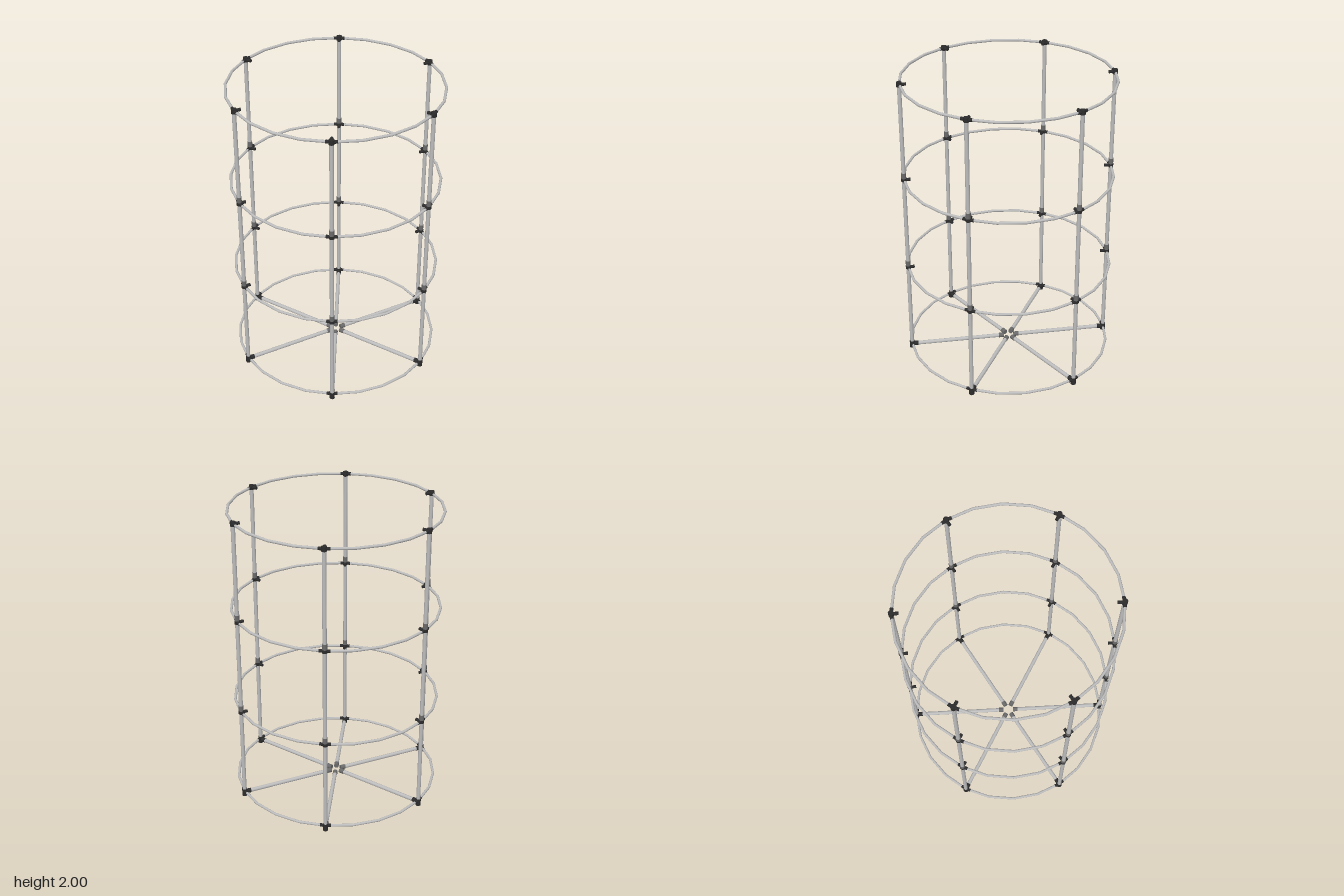
import * as THREE from 'three';

const RADIUS = 0.688;
const LEVELS = [0.035, 0.66, 1.322, 1.985];
const STEP = Math.PI / 12;

export function createModel() {
  const model = new THREE.Group();
  model.name = 'cylindricalFrame';

  const steel = new THREE.MeshStandardMaterial({ color: 0xbcbcbc });
  steel.name = 'greyTube';
  const collar = new THREE.MeshStandardMaterial({ color: 0x6a6a6a });
  collar.name = 'greyCollar';
  const fitting = new THREE.MeshStandardMaterial({ color: 0x2c2c2c });
  fitting.name = 'darkFitting';

  // Round bar between two points
  function bar(parent, name, a, b, radius, material) {
    const dir = b.clone().sub(a);
    const mesh = new THREE.Mesh(new THREE.CylinderGeometry(radius, radius, dir.length(), 16), material);
    mesh.position.copy(a).add(b).multiplyScalar(0.5);
    mesh.quaternion.setFromUnitVectors(new THREE.Vector3(0, 1, 0), dir.normalize());
    mesh.name = name;
    parent.add(mesh);
  }
  const V = (x, y, z) => new THREE.Vector3(x, y, z);

  // Four hoops, each bent from 24 straight lengths
  for (const y of LEVELS) {
    const hoop = new THREE.Mesh(new THREE.TorusGeometry(RADIUS, 0.009, 12, 24), steel);
    hoop.rotation.x = Math.PI / 2;
    hoop.position.y = y;
    hoop.name = 'hoop';
    model.add(hoop);
  }

  // Six identical bays: post, floor spoke and fittings, built along +x
  for (let i = 0; i < 6; i++) {
    const bay = new THREE.Group();
    bay.name = 'bay';
    bay.rotation.y = i * Math.PI / 3;
    model.add(bay);

    bar(bay, 'post', V(RADIUS, 0.02, 0), V(RADIUS, 1.985, 0), 0.0135, steel);
    bar(bay, 'spoke', V(0.06, 0.027, 0), V(RADIUS, 0.027, 0), 0.0135, steel);
    bar(bay, 'spokeInnerCollar', V(0.036, 0.027, 0), V(0.07, 0.027, 0), 0.0165, collar);
    bar(bay, 'spokeOuterCollar', V(0.645, 0.027, 0), V(RADIUS, 0.027, 0), 0.016, fitting);

    LEVELS.forEach((y, level) => {
      const half = level === 3 ? 0.015 : 0.011;
      const low = level === 0 ? 0 : y - half;
      const high = level === 0 ? 0.05 : y + half;
      bar(bay, 'jointHub', V(RADIUS, low, 0), V(RADIUS, high, 0), 0.0175, fitting);

      // Sleeves gripping the hoop on both sides of the post
      for (const side of [-1, 1]) {
        const corner = V(RADIUS, y, 0);
        const next = V(RADIUS * Math.cos(STEP), y, side * RADIUS * Math.sin(STEP));
        const end = corner.clone().lerp(next, 0.2);
        bar(bay, 'hoopSleeve', corner, end, 0.011, fitting);
      }

      // Short stub pointing inward at each raised hoop
      if (level > 0) {
        bar(bay, 'inwardStub', V(0.645, y, 0), V(RADIUS, y, 0), 0.0105, fitting);
      }

      // Socket for the post above the two middle hoops
      if (level === 1 || level === 2) {
        bar(bay, 'postSocket', V(RADIUS, y + 0.008, 0), V(RADIUS, y + 0.049, 0), 0.0165, collar);
      }
    });
  }
  return model;
}
